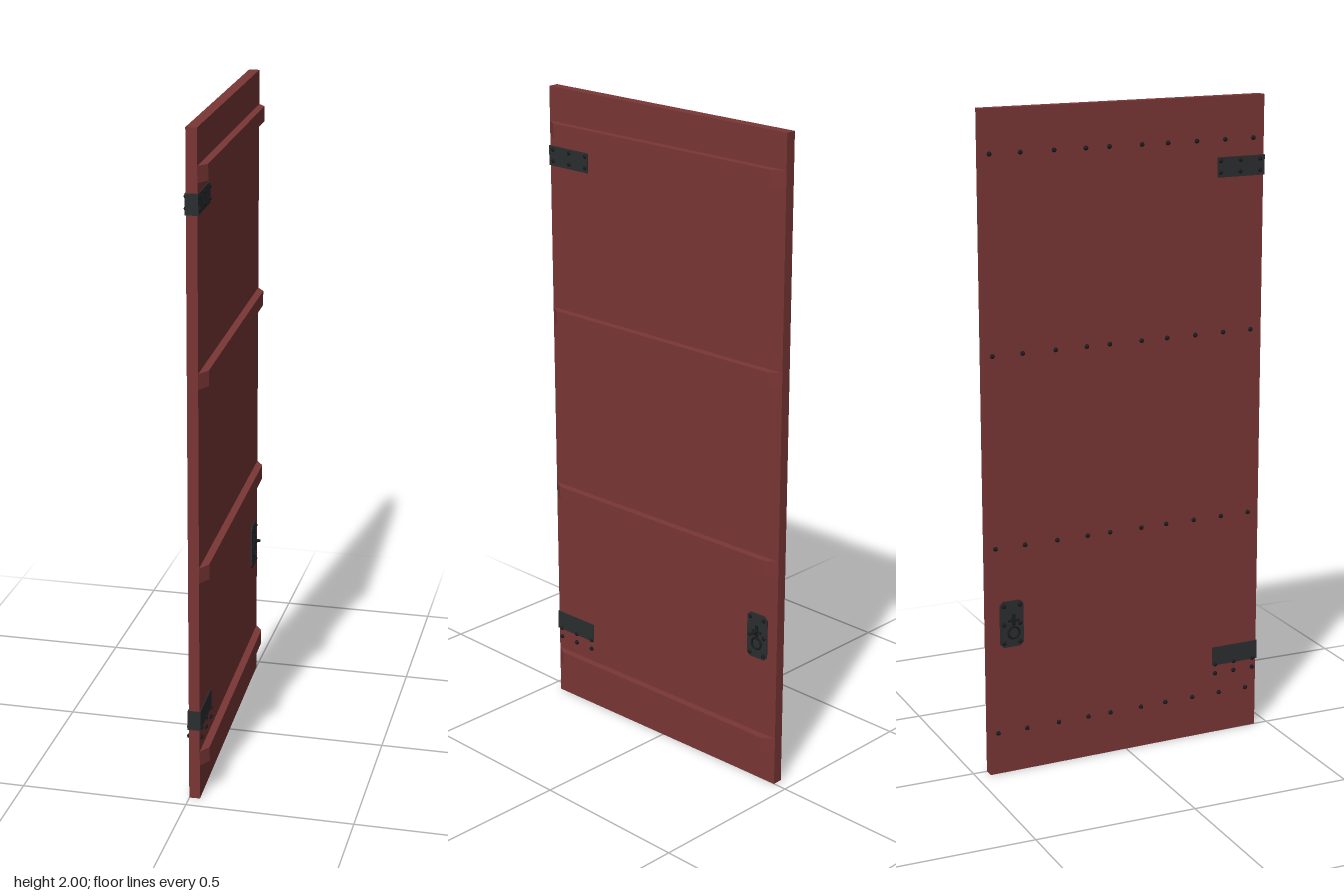
import * as THREE from 'three';

export function createModel() {
  const wood = new THREE.MeshStandardMaterial({ color: 0x7a3636 });
  wood.name = 'red painted wood';
  const iron = new THREE.MeshStandardMaterial({ color: 0x2b2e2f });
  iron.name = 'dark iron';
  const bolt = new THREE.MeshStandardMaterial({ color: 0x1b1c1d });
  bolt.name = 'black bolts';

  const T = 0.016; // half thickness of the door
  const L = 0.456; // half width of the door
  const model = new THREE.Group();
  model.name = 'door';
  const door = new THREE.Group();
  door.name = 'doorLeaf';
  door.rotation.y = 0.034; // stands slightly ajar
  model.add(door);

  const add = (name, geo, mat, x, y, z, parent = door) => {
    const m = new THREE.Mesh(geo, mat);
    m.name = name;
    m.position.set(x, y, z);
    parent.add(m);
    return m;
  };
  const box = (name, mat, w, h, d, x, y, z, parent) =>
    add(name, new THREE.BoxGeometry(w, h, d), mat, x, y, z, parent);

  // Faceted dome head, pointing to +x (side 1) or -x (side -1)
  const headGeo = new THREE.SphereGeometry(0.0075, 8, 3, 0, Math.PI * 2, 0, Math.PI / 2);
  const head = (name, side, y, z, lift = 0, parent = door) => {
    const m = add(name, headGeo, bolt, side * (T + lift), y, z, parent);
    m.rotation.z = -side * Math.PI / 2;
    return m;
  };

  // Door panel
  box('panel', wood, 2 * T, 2, 2 * L, 0, 1, 0);

  // Cross battens with sloping ends, riveted through from the other face
  const depth = 0.0225;
  let battenGeo = new THREE.BoxGeometry(depth, 0.046, 0.912);
  const p = battenGeo.attributes.position;
  for (let i = 0; i < p.count; i++) {
    if (p.getX(i) > 0) p.setZ(i, Math.sign(p.getZ(i)) * 0.42);
  }
  battenGeo = battenGeo.toNonIndexed();
  battenGeo.computeVertexNormals();
  const rivetZ = [-0.43, -0.335, -0.23, -0.13, -0.055, 0.05, 0.135, 0.23, 0.325, 0.42];
  for (const y of [0.131, 0.712, 1.292, 1.873]) {
    add('batten', battenGeo, wood, T + depth / 2, y, 0);
    for (const z of rivetZ) head('battenRivet', -1, y, z);
  }

  // Hinge straps folded around the front edge; lower bolts sit below the strap
  const hinge = (y, boltYs) => {
    const g = new THREE.Group();
    g.name = 'hinge';
    door.add(g);
    const t = 0.003;
    for (const s of [-1, 1]) {
      box('hingeStrap', iron, t, 0.06, 0.157, s * (T + t / 2), y, L - 0.0775, g);
      for (const by of boltYs) {
        for (const z of [0.443, 0.376, 0.31]) head('hingeBolt', s, by, z, 0.001, g);
      }
    }
    box('hingeEdge', iron, 2 * (T + t), 0.06, t, 0, y, L + t / 2, g);
  };
  hinge(1.791, [1.776, 1.81]);
  hinge(0.254, [0.197, 0.227]);

  // Latch plates with cut corners on both faces
  const latch = new THREE.Group();
  latch.name = 'latch';
  latch.position.set(0, 0.473, -0.382);
  door.add(latch);
  const w = 0.038, h = 0.072, c = 0.011;
  const outline = new THREE.Shape([
    [-w + c, -h], [w - c, -h], [w, -h + c], [w, h - c],
    [w - c, h], [-w + c, h], [-w, h - c], [-w, -h + c],
  ].map(([a, b]) => new THREE.Vector2(a, b)));
  const plateGeo = new THREE.ExtrudeGeometry(outline, { depth: 0.004, bevelEnabled: false });
  const ringGeo = new THREE.TorusGeometry(0.018, 0.0035, 6, 14);
  const shaftGeo = new THREE.CylinderGeometry(0.005, 0.005, 0.024, 8);
  for (const s of [-1, 1]) {
    add('latchPlate', plateGeo, iron, s * T, 0, 0, latch).rotation.y = s * Math.PI / 2;
    for (const y of [-0.058, 0, 0.058]) {
      for (const z of [-0.026, 0.026]) head('latchBolt', s, y, z, 0.003, latch);
    }
    add('latchShaft', shaftGeo, bolt, s * (T + 0.012), 0.015, 0, latch).rotation.z = Math.PI / 2;
    // Ring pull, hanging free on the -x face and lying on the +x plate
    const x = s < 0 ? -0.034 : T + 0.006;
    add('latchRing', ringGeo, bolt, x, -0.023, 0, latch).rotation.y = Math.PI / 2;
    box('latchCrossbar', bolt, 0.005, 0.007, 0.036, x, 0.015, 0, latch);
    box('latchThumb', bolt, 0.005, 0.036, 0.009, x, 0.017, 0, latch);
  }
  return model;
}
